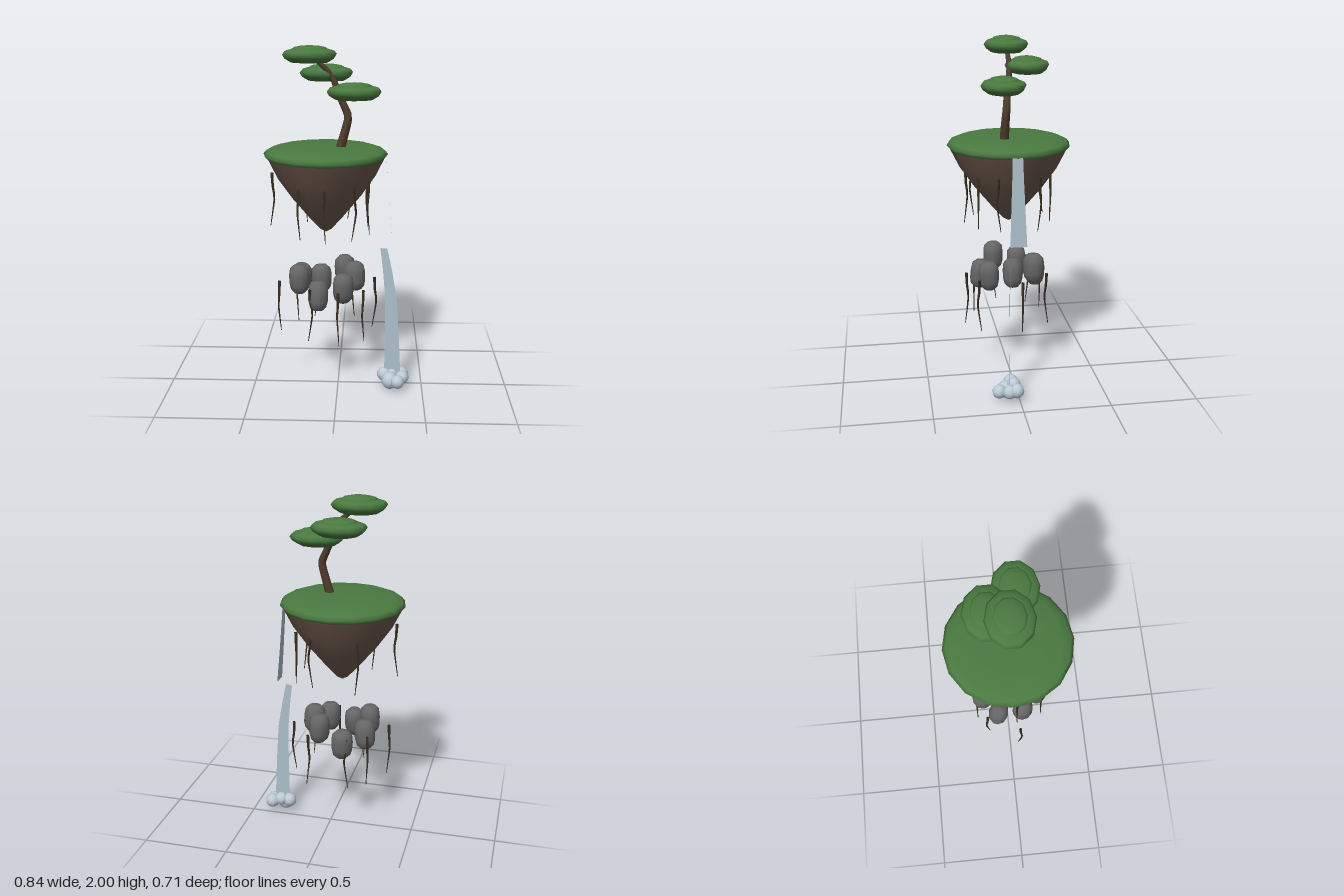
import * as THREE from 'three';

const mat = (name, color, side = THREE.FrontSide) => {
  const m = new THREE.MeshStandardMaterial({ color, side });
  m.name = name;
  return m;
};

export function createModel() {
  const model = new THREE.Group();
  model.name = 'floatingIsland';
  const CX = -0.07; // island axis

  const grass = mat('grass green', 0x4a7a40);
  const rock = mat('earth brown', 0x6e594d);
  const bark = mat('bark brown', 0x4f3d2d);
  const rootMat = mat('root brown', 0x3d2f21, THREE.DoubleSide);
  const stone = mat('stone grey', 0x666666);
  const water = mat('water blue', 0xacbfca, THREE.DoubleSide);
  const foam = mat('foam white', 0xbccbd6);

  const add = (name, geo, material, parent = model) => {
    const mesh = new THREE.Mesh(geo, material);
    mesh.name = name;
    parent.add(mesh);
    return mesh;
  };
  const group = (name) => {
    const g = new THREE.Group();
    g.name = name;
    model.add(g);
    return g;
  };
  const lathe = (profile, sides) =>
    new THREE.LatheGeometry(profile.map(([r, y]) => new THREE.Vector2(r, y)), sides);

  // Tube along a path whose radius shrinks from r0 to r1
  const taperedTube = (points, r0, r1, segments, sides) => {
    const path = new THREE.CatmullRomCurve3(points.map((p) => new THREE.Vector3(...p)), false, 'catmullrom', 0.3);
    const geo = new THREE.TubeGeometry(path, segments, r0, sides, false);
    const pos = geo.attributes.position;
    const v = new THREE.Vector3();
    for (let i = 0; i < pos.count; i++) {
      const t = Math.floor(i / (sides + 1)) / segments;
      const c = path.getPointAt(t);
      v.fromBufferAttribute(pos, i).sub(c).multiplyScalar(1 + (r1 / r0 - 1) * t).add(c);
      pos.setXYZ(i, v.x, v.y, v.z);
    }
    geo.computeVertexNormals();
    return geo;
  };

  // Open strip from rows of [left point, right point]
  const strip = (rows) => {
    const index = [];
    for (let i = 0; i < rows.length - 1; i++) {
      const a = i * 2;
      index.push(a, a + 2, a + 1, a + 1, a + 2, a + 3);
    }
    const geo = new THREE.BufferGeometry();
    geo.setAttribute('position', new THREE.Float32BufferAttribute(rows.flat(2), 3));
    geo.setIndex(index);
    geo.computeVertexNormals();
    return geo;
  };

  // Island: rocky cone and grass cap
  add('islandRock', lathe([[0, 0.942], [0.035, 0.962], [0.1, 1.034], [0.2, 1.155],
    [0.282, 1.272], [0.343, 1.395]], 16), rock).position.x = CX;
  add('grassCap', lathe([[0, 1.375], [0.335, 1.378], [0.353, 1.398], [0.335, 1.418],
    [0.29, 1.434], [0.18, 1.444], [0, 1.447]], 16), grass).position.x = CX;

  // Bent tree trunk
  add('trunk', taperedTube([[0.01, 1.42, 0.035], [0.035, 1.51, 0.035], [0.058, 1.61, 0.03],
    [0.03, 1.68, 0.022], [0, 1.745, 0.012], [-0.035, 1.835, 0], [-0.11, 1.91, 0],
    [-0.15, 1.945, 0]], 0.027, 0.012, 20, 8), bark);

  // Foliage pads: a wide ring with a smaller cap on top
  const foliage = group('foliage');
  const ringGeo = lathe([[0, -0.008], [0.045, -0.018], [0.065, -0.04], [0.105, -0.044], [0.142, -0.022],
    [0.156, 0], [0.142, 0.018], [0.1, 0.03], [0, 0.032]], 10);
  const capGeo = lathe([[0.098, 0.018], [0.107, 0.026], [0.09, 0.038], [0.05, 0.046], [0, 0.048]], 10);
  [[-0.157, 1.95, 0], [-0.07, 1.843, -0.105], [0.09, 1.753, 0.05]].forEach(([x, y, z]) => {
    const pad = new THREE.Group();
    pad.name = 'foliagePad';
    add('padRing', ringGeo, grass, pad);
    add('padCap', capGeo, grass, pad);
    pad.position.set(x, y, z);
    pad.scale.z = 0.81;
    foliage.add(pad);
  });

  // Ring of seven floating stones
  const stones = group('floatingStones');
  const stoneGeo = lathe([[0, -0.085], [0.032, -0.083], [0.052, -0.062], [0.061, -0.03], [0.063, 0.02],
    [0.058, 0.058], [0.037, 0.08], [0, 0.085]], 10);
  for (let i = 0; i < 7; i++) {
    const a = (i / 7) * Math.PI * 2;
    const s = add('floatingStone', stoneGeo, stone, stones);
    s.position.set(CX + 0.168 * Math.cos(a), 0.677 - (i % 3) * 0.035, 0.168 * Math.sin(a));
    s.rotation.set(0.08 * Math.sin(i * 2), i * 0.7, 0.08 * Math.cos(i * 1.7));
    s.scale.z = 0.94;
  }

  // Hanging roots: [x, top y, z]
  const roots = group('hangingRoots');
  const addRoot = ([x, y, z], i) => {
    const dx = 0.012 * Math.cos(i * 2.1);
    const dz = 0.012 * Math.sin(i * 2.1);
    add('hangingRoot', taperedTube([[x, y, z], [x + dx * 0.3, y - 0.08, z + dz * 0.3],
      [x + dx, y - 0.15, z + dz], [x - dx, y - 0.31, z - dz]], 0.009, 0.002, 8, 5), rootMat, roots);
  };
  // Upper roots from the rock
  [[-0.375, 1.29, 0.02], [-0.21, 1.25, 0.2], [-0.065, 1.25, 0.25], [0.095, 1.25, 0.195],
    [0.175, 1.26, 0.09], [0.165, 1.25, -0.14], [0.06, 1.27, -0.22], [-0.2, 1.25, -0.215]].forEach(addRoot);
  // Lower roots around the stones
  [[0.213, 0.655, -0.04], [0.15, 0.655, 0.2], [0.01, 0.655, 0.26], [-0.15, 0.655, 0.2],
    [-0.34, 0.655, 0.05], [-0.25, 0.655, -0.14], [-0.14, 0.655, -0.2], [0.085, 0.655, -0.2]].forEach(addRoot);

  // Two waterfall sheets: the upper faces sideways, the lower faces front
  add('upperWaterfall', strip([[1.395, 0.272, 0.028], [1.27, 0.28, 0.032], [1.1, 0.293, 0.039], [0.9, 0.31, 0.047]]
    .map(([y, x, w]) => [[x, y, w], [x, y, -w]])), water);
  add('lowerWaterfall', strip([[0.855, 0.245, 0.285, 0.037], [0.72, 0.262, 0.315, 0.044], [0.57, 0.276, 0.342, 0.05],
    [0.35, 0.278, 0.358, 0.053], [0.09, 0.276, 0.372, 0.056]]
    .map(([y, x0, x1, z]) => [[x0, y, z - 0.006], [x1, y, z + 0.006]])), water);

  // Foam balls at the foot of the fall: [x, y, z, radius]
  const splash = group('splash');
  [[0.31, 0.05, 0.075, 0.05], [0.275, 0.078, 0.04, 0.042], [0.38, 0.07, 0.02, 0.042],
    [0.354, 0.06, 0.117, 0.04], [0.382, 0.066, 0.06, 0.04], [0.325, 0.085, 0.03, 0.04]].forEach(([x, y, z, r]) => {
    add('foamBall', new THREE.SphereGeometry(r, 10, 8), foam, splash).position.set(x, y, z);
  });

  return model;
}
